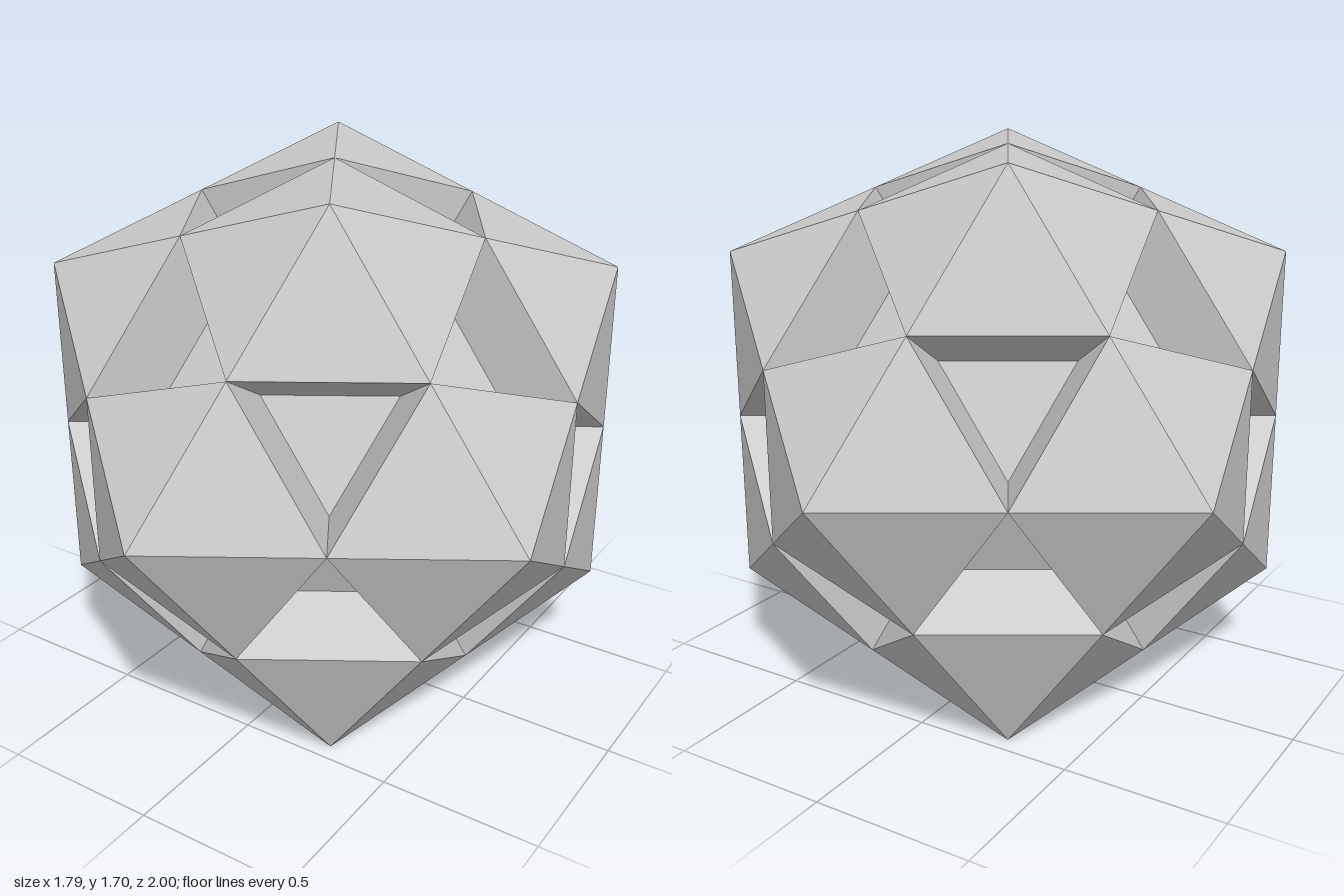
import * as THREE from 'three';

const PIT_SCALE = 0.73; // pit floor, scaled towards the centre
const material = new THREE.MeshStandardMaterial({ color: 0xcccccc, flatShading: true });

// The 12 corners of an icosahedron of radius 1 with its poles on the z axis
function icosahedronCorners() {
  const h = 1 / Math.sqrt(5);
  const corners = [];
  for (const s of [1, -1]) {
    corners.push(new THREE.Vector3(0, 0, s));
    for (let i = 0; i < 5; i++) {
      const a = (i * Math.PI * 2) / 5;
      corners.push(new THREE.Vector3(2 * h * Math.cos(a) * s, 2 * h * Math.sin(a), h * s));
    }
  }
  return corners;
}

// All 20 faces: triples of neighbouring corners, wound to face outwards
function icosahedronFaces(c) {
  const near = (i, j) => c[i].distanceTo(c[j]) < 1.1;
  const faces = [];
  for (let i = 0; i < 12; i++)
    for (let j = i + 1; j < 12; j++)
      for (let k = j + 1; k < 12; k++)
        if (near(i, j) && near(j, k) && near(i, k)) {
          const outward = c[i].clone().cross(c[j]).dot(c[k]) > 0;
          faces.push(outward ? [i, j, k] : [i, k, j]);
        }
  return faces;
}

function triangleMesh(name, points) {
  const geometry = new THREE.BufferGeometry().setFromPoints(points);
  geometry.computeVertexNormals();
  const mesh = new THREE.Mesh(geometry, material);
  mesh.name = name;
  return mesh;
}

export function createModel() {
  const group = new THREE.Group();
  group.name = 'pittedIcosahedron';
  const corners = icosahedronCorners();
  const faces = icosahedronFaces(corners);
  const middle = (i, j) => corners[i].clone().lerp(corners[j], 0.5);

  // Five-sided pyramid caps, one on each corner
  corners.forEach((tip, v) => {
    const points = [];
    for (const face of faces) {
      const n = face.indexOf(v);
      if (n >= 0) points.push(tip, middle(v, face[(n + 1) % 3]), middle(v, face[(n + 2) % 3]));
    }
    group.add(triangleMesh('pyramidCap', points));
  });

  // Triangular pits in the middle of each face, tapering towards the centre
  for (const [i, j, k] of faces) {
    const rim = [middle(i, j), middle(j, k), middle(k, i)];
    const floor = rim.map((p) => p.clone().multiplyScalar(PIT_SCALE));
    const walls = [];
    for (let n = 0; n < 3; n++) {
      const m = (n + 1) % 3;
      walls.push(rim[n], rim[m], floor[m], rim[n], floor[m], floor[n]);
    }
    group.add(triangleMesh('pitWalls', walls), triangleMesh('pitFloor', floor));
  }

  // Rest the lowest edges on the ground
  const height = Math.max(...corners.map((p) => p.y));
  for (const mesh of group.children) mesh.position.y = height;
  return group;
}
